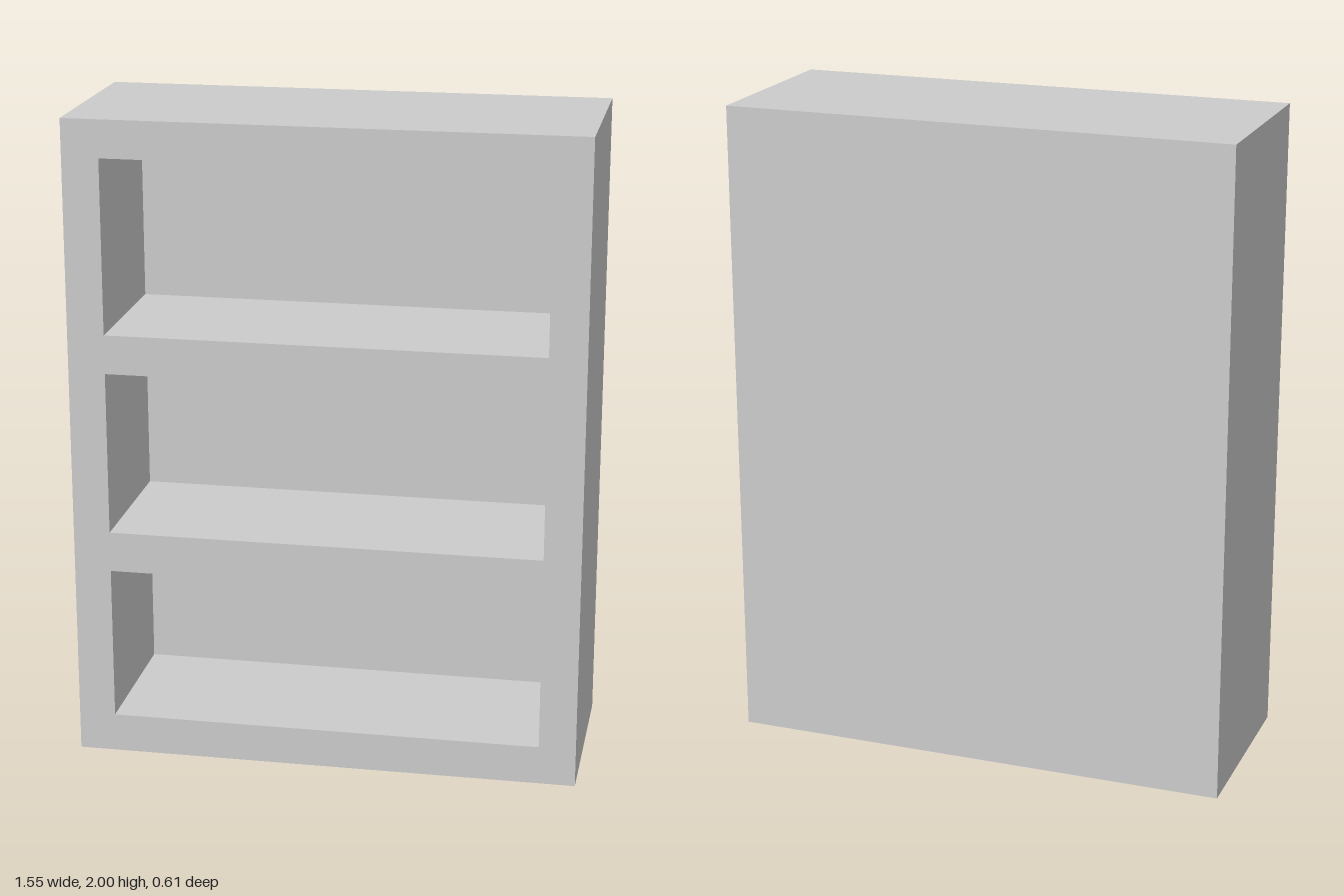
import * as THREE from 'three';

const W = 1.554, H = 2, D = 0.605;   // outer size
const BACK = 0.117;                  // back panel thickness
const OPEN_W = 1.328;                // width of each opening
const BAYS = [[0.12, 0.6], [0.725, 1.23], [1.35, 1.885]]; // bottom and top of each opening

// Traces a rectangle centred on x = 0
function rect(path, width, y0, y1) {
  const h = width / 2;
  path.moveTo(-h, y0);
  path.lineTo(h, y0);
  path.lineTo(h, y1);
  path.lineTo(-h, y1);
  path.closePath();
  return path;
}

export function createModel() {
  const group = new THREE.Group();
  group.name = 'bookcase';
  const material = new THREE.MeshStandardMaterial({ color: 0xcccccc });

  // Sides, top, base and shelves as one frame with three openings
  const outline = rect(new THREE.Shape(), W, 0, H);
  for (const [y0, y1] of BAYS) outline.holes.push(rect(new THREE.Path(), OPEN_W, y0, y1));
  const frame = new THREE.Mesh(
    new THREE.ExtrudeGeometry(outline, { depth: D - BACK, bevelEnabled: false }),
    material
  );
  frame.name = 'shelfFrame';
  frame.position.z = -D / 2 + BACK;
  group.add(frame);

  // Solid back closing the openings
  const back = new THREE.Mesh(new THREE.BoxGeometry(W, H, BACK), material);
  back.name = 'backPanel';
  back.position.set(0, H / 2, -D / 2 + BACK / 2);
  group.add(back);

  return group;
}
